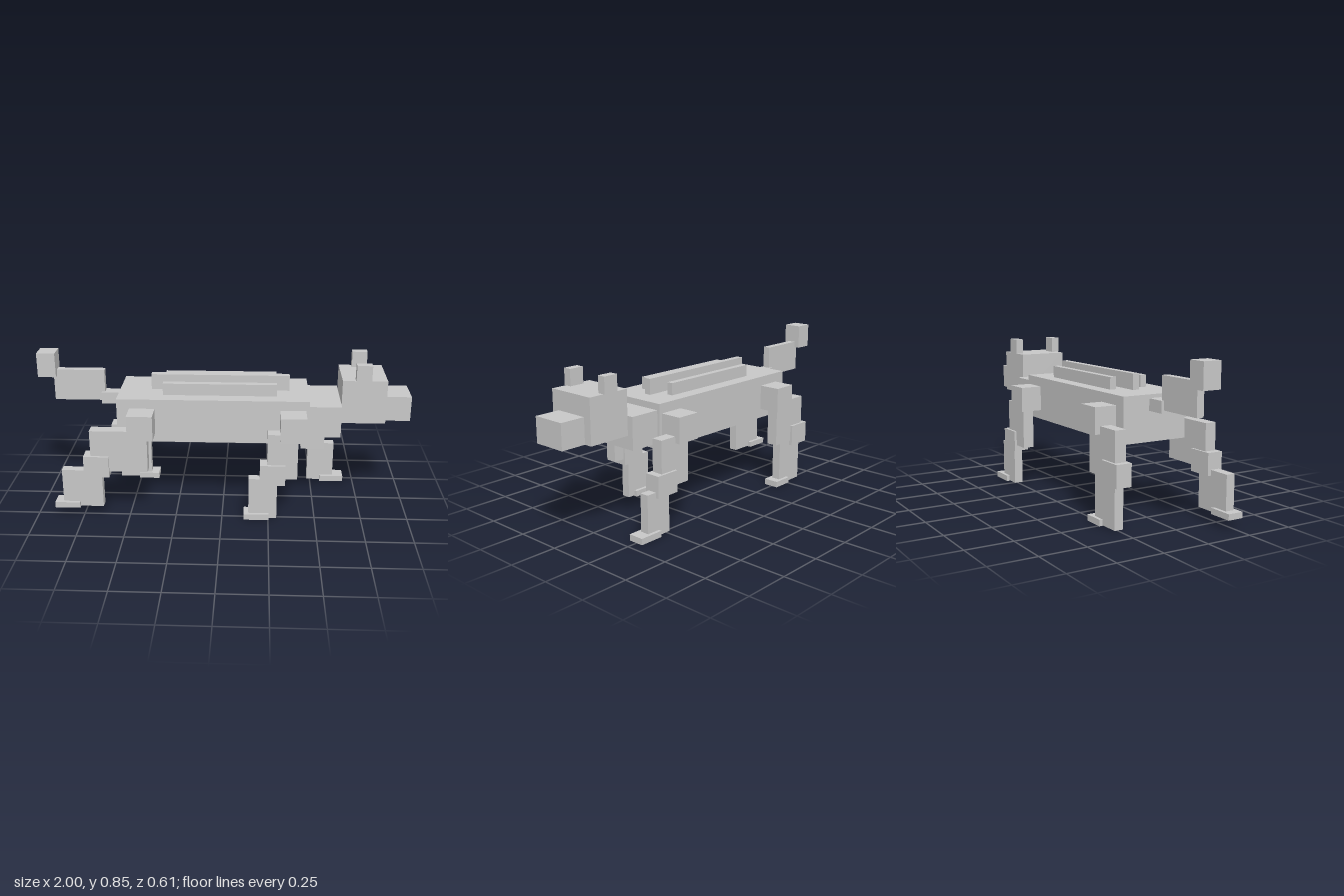
import * as THREE from 'three';

export function createModel() {
  const model = new THREE.Group();
  const grey = new THREE.MeshStandardMaterial({ color: 0xc8c8c8 });
  grey.name = 'light grey';

  // Box given by its [min, max] range on each axis
  function block(name, [x0, x1], [y0, y1], [z0, z1], parent = model) {
    const mesh = new THREE.Mesh(new THREE.BoxGeometry(x1 - x0, y1 - y0, z1 - z0), grey);
    mesh.position.set((x0 + x1) / 2, (y0 + y1) / 2, (z0 + z1) / 2);
    mesh.name = name;
    parent.add(mesh);
  }
  const around = (half) => [-half, half];
  const onSide = (side, a, b) => (side > 0 ? [a, b] : [-b, -a]);

  // Body, neck and head
  block('body', [-0.56, 0.457], [0.407, 0.645], around(0.185));
  block('neck', [0.457, 0.627], [0.44, 0.611], around(0.17));
  block('head', [0.627, 0.862], [0.51, 0.746], around(0.136));
  block('snout', [0.862, 1], [0.51, 0.645], around(0.092));

  // Ears and back ridges
  block('centreRidge', [-0.39, 0.355], [0.645, 0.729], around(0.018));
  for (const side of [1, -1]) {
    block('ear', [0.696, 0.777], [0.746, 0.832], onSide(side, 0.101, 0.145));
    block('sideRidge', [-0.32, 0.286], [0.645, 0.709], onSide(side, 0.076, 0.11));
  }

  // Tail
  block('tailBase', [-0.663, -0.56], [0.563, 0.626], around(0.034));
  block('tailMiddle', [-0.92, -0.645], [0.578, 0.749], around(0.02));
  block('tailTip', [-1, -0.902], [0.715, 0.848], around(0.05));

  // Legs in mid stride: x and y ranges for each part
  const legs = [
    { name: 'frontLeftLeg', side: 1, hip: [0.305, 0.44],
      thigh: [[0.24, 0.4], [0.239, 0.493]], knee: [[0.202, 0.337], [0.206, 0.321]],
      shin: [[0.143, 0.295], [0.003, 0.235]], foot: [[0.118, 0.253], [0, 0.033]] },
    { name: 'frontRightLeg', side: -1, hip: [0.305, 0.44],
      thigh: [[0.347, 0.537], [0.239, 0.493]], knee: [[0.44, 0.575], [0.206, 0.321]],
      shin: [[0.482, 0.632], [0.003, 0.235]], foot: [[0.557, 0.692], [0, 0.033]] },
    { name: 'rearLeftLeg', side: 1, hip: [-0.493, -0.358],
      thigh: [[-0.695, -0.393], [0.269, 0.499]], knee: [[-0.733, -0.598], [0.239, 0.356]],
      shin: [[-0.855, -0.64], [0.057, 0.269]], foot: [[-0.9, -0.765], [0.053, 0.085]] },
    { name: 'rearRightLeg', side: -1, hip: [-0.493, -0.358],
      thigh: [[-0.63, -0.393], [0.251, 0.499]], knee: [[-0.663, -0.528], [0.223, 0.34]],
      shin: [[-0.62, -0.438], [0.003, 0.25]], foot: [[-0.508, -0.393], [0, 0.033]] },
  ];
  for (const leg of legs) {
    const group = new THREE.Group();
    group.name = leg.name;
    block('hip', leg.hip, [0.458, 0.594], onSide(leg.side, 0.185, 0.304), group);
    block('thigh', ...leg.thigh, onSide(leg.side, 0.214, 0.276), group);
    block('knee', ...leg.knee, onSide(leg.side, 0.203, 0.289), group);
    block('shin', ...leg.shin, onSide(leg.side, 0.222, 0.271), group);
    block('foot', ...leg.foot, onSide(leg.side, 0.203, 0.289), group);
    model.add(group);
  }

  return model;
}
